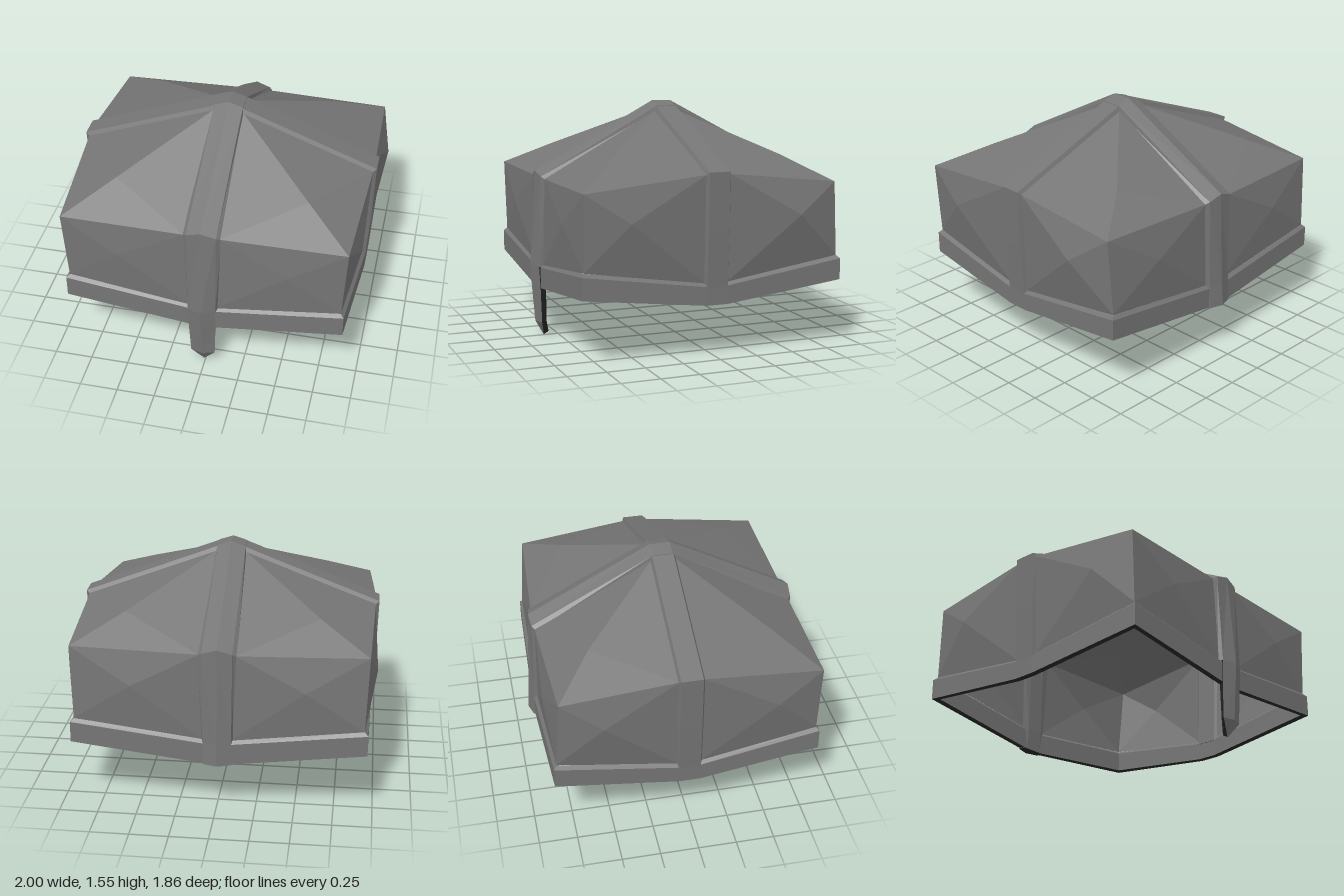
import * as THREE from 'three';

function material(name, color) {
  const m = new THREE.MeshStandardMaterial({ color, flatShading: true, side: THREE.DoubleSide });
  m.name = name;
  return m;
}
const steel = material('dark steel', 0x757575);
const black = material('blackened edge', 0x262626);

const vec = (p) => new THREE.Vector3(...p);

// Flat-shaded mesh from steel triangles and, after them, blackened ones
function meshOf(name, tris, dark = []) {
  const g = new THREE.BufferGeometry();
  g.setAttribute('position', new THREE.Float32BufferAttribute([...tris, ...dark].flat(2), 3));
  g.computeVertexNormals();
  g.addGroup(0, tris.length * 3, 0);
  g.addGroup(tris.length * 3, dark.length * 3, 1);
  const m = new THREE.Mesh(g, [steel, black]);
  m.name = name;
  return m;
}

// Solid through a row of equal cross-sections, joined end to end or capped.
// isDark(segment, side) picks blackened faces; the last cap is always blackened.
function loft(name, rings, { closed = false, isDark = () => false } = {}) {
  const tris = [], dark = [];
  const n = rings[0].length;
  const count = closed ? rings.length : rings.length - 1;
  for (let i = 0; i < count; i++) {
    const a = rings[i], b = rings[(i + 1) % rings.length];
    for (let j = 0; j < n; j++) {
      const k = (j + 1) % n;
      (isDark(i, j) ? dark : tris).push([a[j], b[j], b[k]], [a[j], b[k], a[k]]);
    }
  }
  if (!closed) {
    const a = rings[0], b = rings[count];
    for (let j = 1; j < n - 1; j++) {
      tris.push([a[0], a[j], a[j + 1]]);
      dark.push([b[0], b[j + 1], b[j]]);
    }
  }
  // turn the faces outward
  const all = [...tris, ...dark];
  let volume = 0;
  for (const [a, b, c] of all) volume += vec(a).dot(vec(b).cross(vec(c)));
  if (volume < 0) all.forEach((t) => t.reverse());
  return meshOf(name, tris, dark);
}

// Faces round a raised middle point, turned away from the helmet's middle
function fan(name, middle, outline) {
  const centre = new THREE.Vector3(0, 0.7, 0);
  return meshOf(name, outline.map((point, i) => {
    const t = [middle, point, outline[(i + 1) % outline.length]];
    const [a, b, c] = t.map(vec);
    const normal = b.clone().sub(a).cross(c.clone().sub(a));
    return normal.dot(a.sub(centre)) < 0 ? t.reverse() : t;
  }));
}

// One quarter of the shell: roof, front or back wall, side wall
function quarter(sx, front) {
  const group = new THREE.Group();
  group.name = (front ? 'front' : 'back') + (sx > 0 ? 'Left' : 'Right') + 'Shell';
  const sz = front ? 1 : -1;
  const at = (x, y, z) => [sx * x, y, sz * z];
  const apex = at(0.09, 1.49, 0.07);
  const corner = front ? at(0.92, 1.07, 0.857) : at(0.94, 1.07, 0.82);
  const cornerLow = front ? at(0.895, 0.588, 0.85) : at(0.922, 0.588, 0.85);
  const endEave = at(0.115, 1.065, 0.86);
  const endLow = at(0.085, 0.49, 0.868);
  const sideEave = at(0.962, 1.155, 0.08);
  const sideLow = at(0.935, 0.47, 0.07);
  const sideMid = front ? at(0.97, 0.88, 0.57) : at(1.0, 0.88, 0.55);
  if (!front) sideMid[0] += 0.01;
  group.add(
    fan('roofPanel', at(0.62, 1.225, 0.58), [apex, endEave, corner, sideEave]),
    fan('endPanel', at(0.55, 0.84, 0.88), [endEave, corner, cornerLow, endLow]),
    fan('sidePanel', sideMid, [sideEave, corner, cornerLow, sideLow]),
  );
  return group;
}

// Ridged band from the crown down the front or back.
// Station: half width, foot half width, edge y z, ridge y z, inward y z
function ridgedBand(name, sz, stations) {
  return loft(name, stations.map(([w, foot, ey, ez, ry, rz, ny, nz]) => {
    const p = (x, d) => [x, ey + ny * d, sz * (ez + nz * d)];
    return [p(foot, 0.03), p(w, 0), [0, ry, sz * rz], p(-w, 0), p(-foot, 0.03), p(-0.06, 0.05), p(0.06, 0.05)];
  }));
}

// Nose guard with blackened sides. Station: half width, back half width, edge y z, ridge y z, back y z
function noseGuard() {
  const stations = [
    [0.09, 0.055, 0.48, 0.896, 0.48, 0.931, 0.48, 0.845],
    [0.09, 0.055, 0.34, 0.888, 0.34, 0.922, 0.34, 0.84],
    [0.08, 0.05, 0.1, 0.878, 0.1, 0.902, 0.11, 0.84],
    [0.003, 0.003, 0.002, 0.845, 0, 0.846, 0.02, 0.812],
  ];
  const rings = stations.map(([w, bw, ey, ez, ry, rz, by, bz]) => [
    [w, ey, ez], [0, ry, rz], [-w, ey, ez], [-bw, by, bz], [bw, by, bz],
  ]);
  return loft('noseGuard', rings, { isDark: (i, j) => j === 2 || j === 4 });
}

// Flat band from the crown down one side to the rim. Station: x y, inward x y
function sideBand(sx) {
  const stations = [
    [0, 1.515, 0, -1], [0.095, 1.515, -0.2, -1], [0.985, 1.172, -0.9, -0.7],
    [0.975, 0.8, -1, 0], [0.957, 0.45, -1, 0],
  ];
  return loft(sx > 0 ? 'leftBand' : 'rightBand', stations.map(([x, y, nx, ny]) => {
    const p = (z, d) => [sx * (x + nx * d), y + ny * d, z];
    return [p(0.085, 0.03), p(0.07, 0), p(-0.07, 0), p(-0.085, 0.03), p(-0.07, 0.045), p(0.07, 0.045)];
  }));
}

export function createModel() {
  const model = new THREE.Group();
  model.name = 'helmet';
  const body = new THREE.Group();
  body.name = 'helmetBody';
  body.position.x = -0.01;
  model.add(body);

  for (const sx of [1, -1]) {
    body.add(quarter(sx, true), quarter(sx, false), sideBand(sx));
  }

  // Ridged bands over the crown
  const crown = [
    [0.093, 0.1, 1.52, 0, 1.55, 0, -1, 0],
    [0.093, 0.1, 1.52, 0.065, 1.55, 0.065, -1, -0.2],
    [0.096, 0.125, 1.08, 0.878, 1.11, 0.888, -0.6, -0.8],
  ];
  body.add(ridgedBand('frontBand', 1, [
    ...crown,
    [0.09, 0.1, 0.48, 0.896, 0.48, 0.931, 0, -1],
  ]));
  body.add(noseGuard());
  body.add(ridgedBand('backBand', -1, [
    ...crown,
    [0.09, 0.1, 0.48, 0.895, 0.48, 0.922, 0, -1],
    [0.09, 0.095, 0.335, 0.905, 0.335, 0.932, 0, -1],
  ]));

  // Rim all the way round, with a blackened lower lip. Station: x z, bottom y, top y
  const half = [
    [0.09, 0.885, 0.337, 0.475], [0.915, 0.87, 0.425, 0.567], [0.957, 0.07, 0.337, 0.455],
    [0.957, -0.07, 0.337, 0.455], [0.945, -0.87, 0.43, 0.567], [0.09, -0.895, 0.337, 0.475],
  ];
  const mirrored = half.map(([x, z, b, t]) => [-x, z, b, t]).reverse();
  const rimRings = [...half, ...mirrored].map(([x, z, b, t]) => {
    const p = (s, y) => [x * s, y, z * s];
    return [p(1, b), p(1, t), p(0.977, t + 0.02), p(0.957, t), p(0.957, b)];
  });
  body.add(loft('rim', rimRings, { closed: true, isDark: (i, j) => j === 4 }));

  return model;
}
